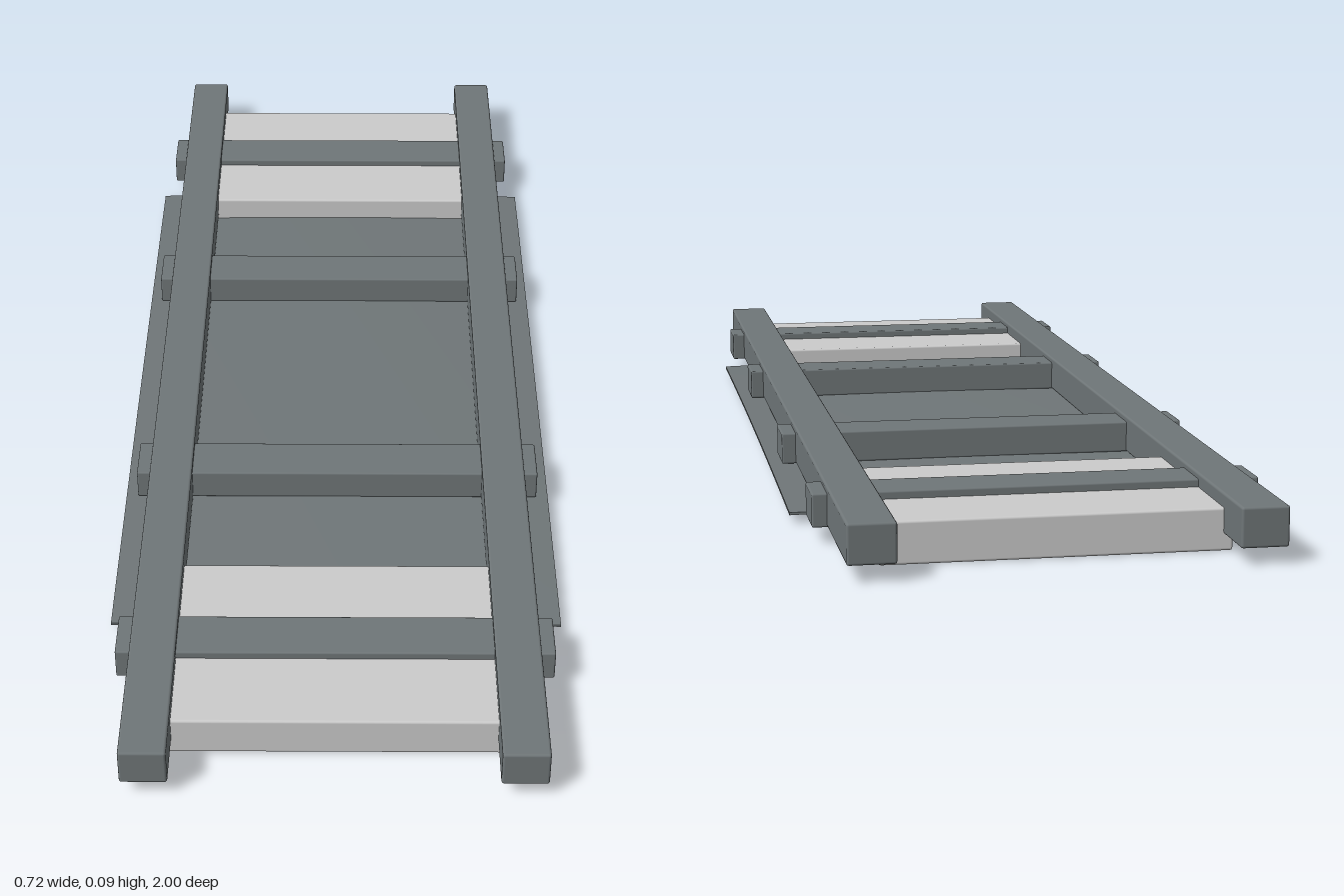
import * as THREE from 'three';
import { RoundedBoxGeometry } from 'three/addons/geometries/RoundedBoxGeometry.js';

export function createModel() {
  const model = new THREE.Group();
  model.name = 'slattedFrame';
  const dark = new THREE.MeshStandardMaterial({ color: 0x6f7678 });
  const grey = new THREE.MeshStandardMaterial({ color: 0xcccccc });

  // softly rounded bar given by its size and its bottom height
  function bar(name, w, h, d, x, bottom, z, material, radius = 0.004) {
    const mesh = new THREE.Mesh(new RoundedBoxGeometry(w, h, d, 2, radius), material);
    mesh.name = name;
    mesh.position.set(x, bottom + h / 2, z);
    model.add(mesh);
  }

  for (const s of [-1, 1]) {
    // long side rails
    bar(s > 0 ? 'leftRail' : 'rightRail', 0.071, 0.06, 2, s * 0.28, 0.025, 0, dark);

    // crossbars whose ends stick out through the rails
    const end = s > 0 ? 'front' : 'back';
    bar(end + 'OuterCrossbar', 0.676, 0.051, 0.083, 0, 0.025, s * 0.735, dark, 0.003);
    bar(end + 'InnerCrossbar', 0.676, 0.051, 0.083, 0, 0.025, s * 0.295, dark, 0.003);

    // pale blocks near both ends
    bar(end + 'Block', 0.518, 0.064, 0.355, 0, 0, s * 0.735, grey, 0.004);
  }

  // thin base sheet, drooping slightly towards its edges
  const sheet = new THREE.BoxGeometry(0.716, 0.004, 1.295, 12, 1, 20);
  const p = sheet.attributes.position;
  for (let i = 0; i < p.count; i++) {
    const u = p.getX(i) / 0.358, v = p.getZ(i) / 0.6475;
    p.setY(i, p.getY(i) + 0.026 - 0.004 * u * u - 0.006 * v * v);
  }
  sheet.computeVertexNormals();
  const base = new THREE.Mesh(sheet, dark);
  base.name = 'baseSheet';
  model.add(base);

  return model;
}
